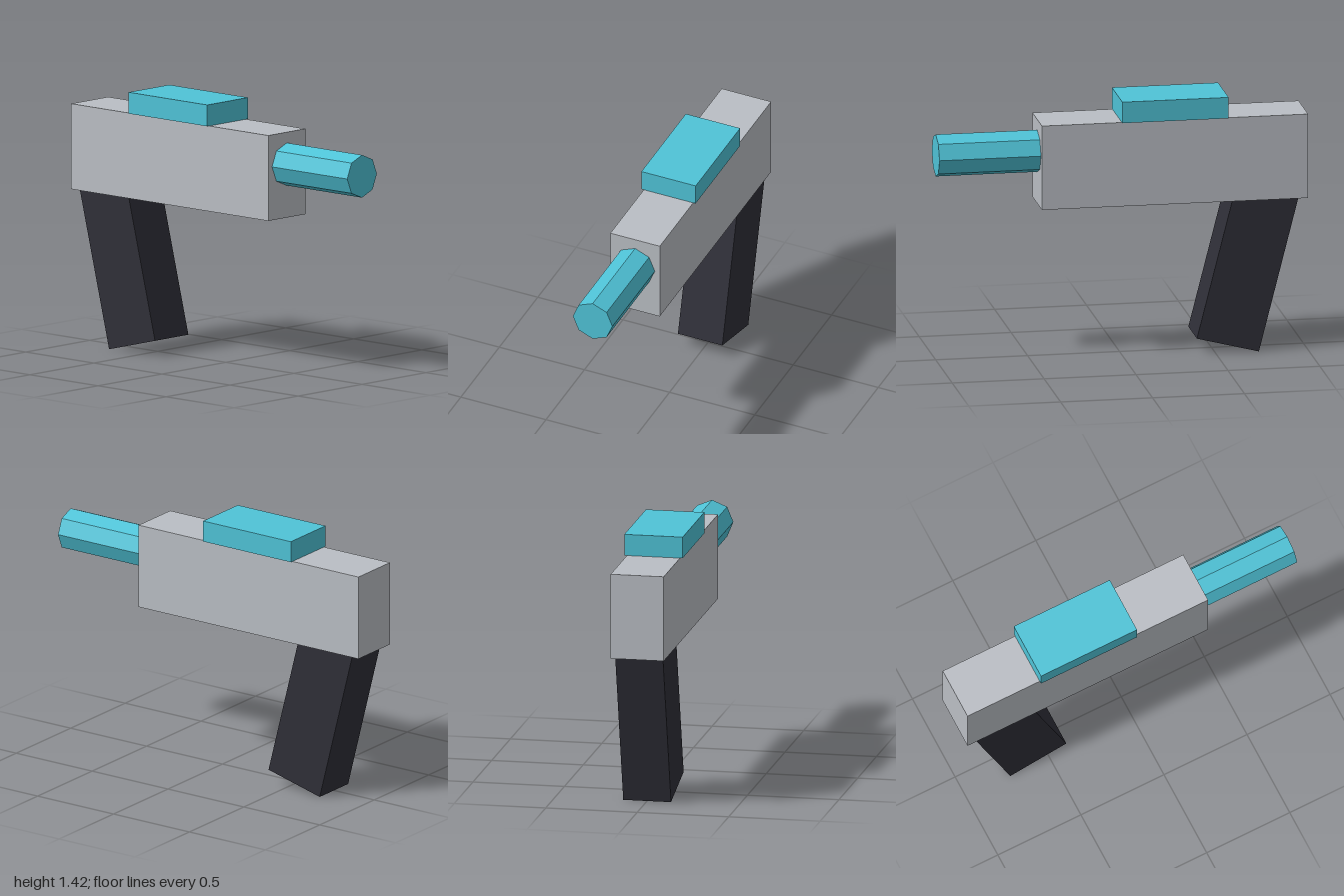
import * as THREE from 'three';

export function createModel() {
  const model = new THREE.Group();
  model.name = 'toyBlaster';

  const paint = (name, color) => {
    const material = new THREE.MeshStandardMaterial({ color });
    material.name = name;
    return material;
  };
  const grey = paint('light grey', 0xbabec4);
  const cyan = paint('cyan', 0x4fc3d7);
  const dark = paint('dark slate', 0x2f2f38);

  const add = (name, geometry, material, x, y) => {
    const mesh = new THREE.Mesh(geometry, material);
    mesh.name = name;
    mesh.position.set(x, y, 0);
    model.add(mesh);
    return mesh;
  };

  // Main housing
  add('body', new THREE.BoxGeometry(1.448, 0.464, 0.29), grey, -0.276, 1.072);

  // Slab on top of the housing
  add('topSight', new THREE.BoxGeometry(0.578, 0.116, 0.319), cyan, -0.276, 1.362);

  // Octagonal barrel, slightly sunk into the housing; its flat sides stay faceted
  const barrelShape = new THREE.CylinderGeometry(0.116, 0.116, 0.58, 8).toNonIndexed();
  barrelShape.computeVertexNormals();
  add('barrel', barrelShape, cyan, 0.71, 1.13).rotation.z = -Math.PI / 2;

  // Raked grip, its top buried in the housing
  add('grip', new THREE.BoxGeometry(0.348, 0.928, 0.261), dark, -0.681, 0.492).rotation.z = 0.25;

  return model;
}
